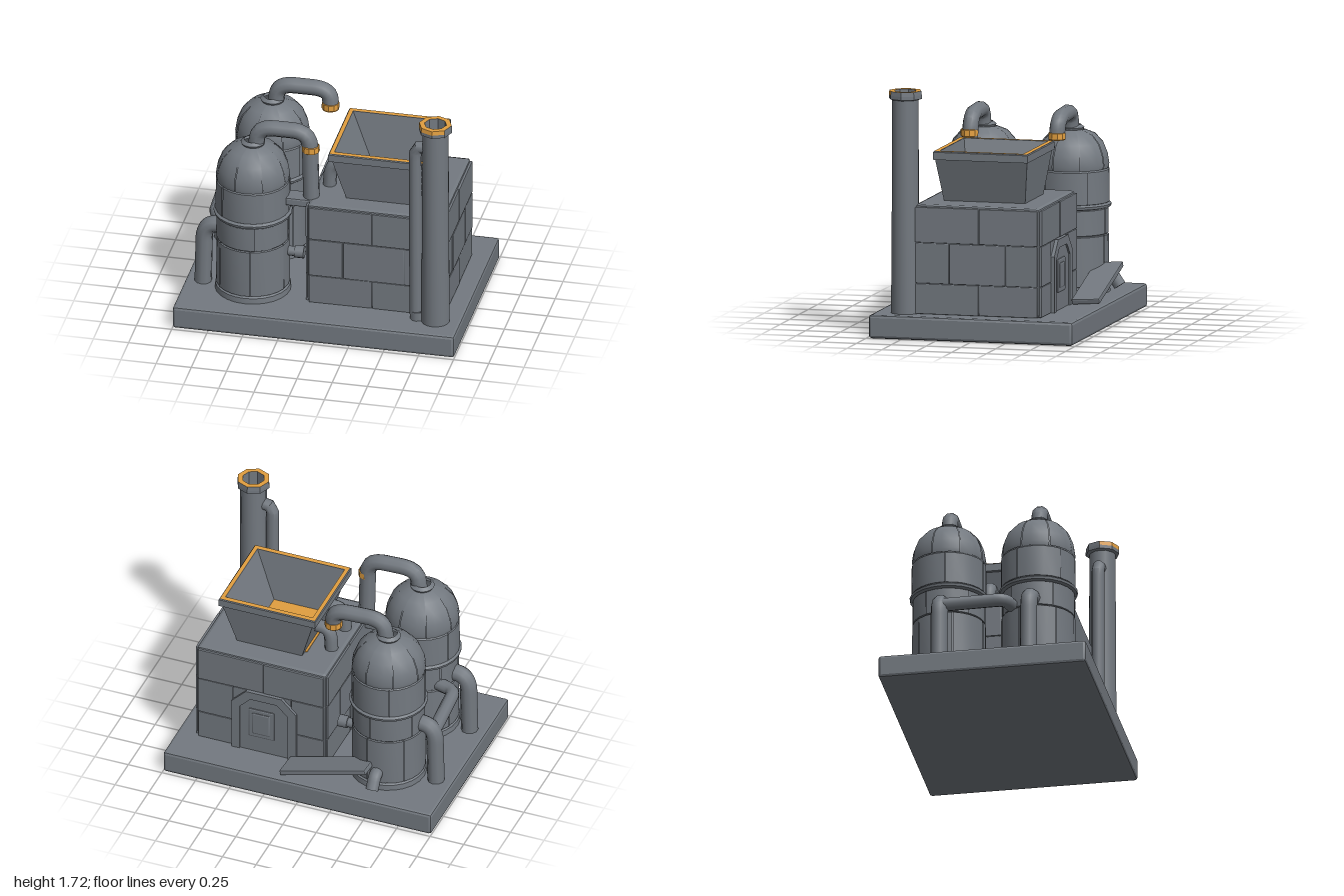
import * as THREE from 'three';
import { toCreasedNormals } from 'three/addons/utils/BufferGeometryUtils.js';
import { RoundedBoxGeometry } from 'three/addons/geometries/RoundedBoxGeometry.js';

export function createModel() {
  const model = new THREE.Group();
  const iron = new THREE.MeshStandardMaterial({ color: 0x737980 });
  iron.name = 'iron grey';
  iron.side = THREE.DoubleSide;
  const glow = new THREE.MeshStandardMaterial({ color: 0xe29f40 });
  glow.name = 'amber';
  glow.side = THREE.DoubleSide;

  let seed = 7;
  const rnd = () => (seed = (seed * 16807) % 2147483647) / 2147483647;
  const V = (p) => new THREE.Vector3(...p);

  function add(name, geo, mat = iron, pos = [0, 0, 0], parent = model) {
    const m = new THREE.Mesh(geo, mat);
    m.name = name;
    m.position.set(...pos);
    parent.add(m);
    return m;
  }
  const crease = (geo, angle = 0.5) => toCreasedNormals(geo, angle);
  const block = (w, h, d, r = 0.012) => crease(new RoundedBoxGeometry(w, h, d, 1, r), 0.3);
  const lathe = (pts, segs = 20, start = 0, len = Math.PI * 2) =>
    crease(new THREE.LatheGeometry(pts.map((p) => new THREE.Vector2(...p)), segs, start, len));

  // Bent pipe through a few points, with rounded corners and closed ends
  function pipe(name, pts, r, bend = 0.1, parent = model) {
    const p = pts.map(V), path = new THREE.CurvePath();
    let from = p[0];
    for (let i = 1; i < p.length - 1; i++) {
      const toward = (q) => p[i].clone().add(q.clone().sub(p[i]).setLength(
        Math.min(bend, q.distanceTo(p[i]) * 0.48)));
      const a = toward(p[i - 1]), b = toward(p[i + 1]);
      path.add(new THREE.LineCurve3(from, a));
      path.add(new THREE.QuadraticBezierCurve3(a, p[i], b));
      from = b;
    }
    path.add(new THREE.LineCurve3(from, p[p.length - 1]));
    add(name, crease(new THREE.TubeGeometry(path, 28, r, 10), 0.7), iron, [0, 0, 0], parent);
    for (const t of [0, 1]) {
      const cap = add(name + 'End', new THREE.CircleGeometry(r, 10), iron, path.getPointAt(t).toArray(), parent);
      cap.lookAt(cap.position.clone().add(path.getTangentAt(t).multiplyScalar(t ? 1 : -1)));
    }
  }

  // Rectangular loft through rings of [y, halfX, halfZ]
  function rectLoft(rings) {
    const pos = [];
    const corner = ([y, hx, hz], i) => [[-hx, y, hz], [hx, y, hz], [hx, y, -hz], [-hx, y, -hz]][i % 4];
    for (let k = 0; k < rings.length - 1; k++) {
      for (let i = 0; i < 4; i++) {
        const a = corner(rings[k], i), b = corner(rings[k], i + 1);
        const c = corner(rings[k + 1], i + 1), d = corner(rings[k + 1], i);
        pos.push(...a, ...b, ...d, ...b, ...c, ...d);
      }
    }
    const g = new THREE.BufferGeometry();
    g.setAttribute('position', new THREE.Float32BufferAttribute(pos, 3));
    g.computeVertexNormals();
    return g;
  }

  // Base slab
  add('base', block(2, 0.165, 1.465, 0.02), iron, [0, 0.0825, 0]);

  // Furnace: core block clad in uneven courses of plates
  const fx = 0.375, fz = -0.005, W = 0.97, D = 0.91;
  const furnace = new THREE.Group();
  furnace.name = 'furnace';
  model.add(furnace);
  add('furnaceCore', block(W, 0.77, D, 0.03), iron, [fx, 0.545, fz], furnace);
  const courses = [[0.165, 0.38], [0.38, 0.665], [0.665, 0.915]];
  for (let side = 0; side < 4; side++) {
    const alongX = side % 2 === 0, len = (alongX ? W : D) - 0.03, sign = side < 2 ? 1 : -1;
    courses.forEach(([y0, y1], row) => {
      const cuts = row % 2 ? [0, 0.26, 0.72, 1] : [0, 0.48, 1];
      for (let i = 0; i < cuts.length - 1; i++) {
        const w = (cuts[i + 1] - cuts[i]) * len - 0.004;
        const u = ((cuts[i] + cuts[i + 1]) / 2 - 0.5) * len;
        const out = sign * ((alongX ? D : W) / 2 - 0.004 + rnd() * 0.006);
        const m = add('furnacePlate', block(alongX ? w : 0.02, y1 - y0 - 0.004, alongX ? 0.02 : w, 0.005), iron,
          [fx + (alongX ? u : out), (y0 + y1) / 2, fz + (alongX ? out : u)], furnace);
        m.rotation.y = (rnd() - 0.5) * 0.02;
      }
    });
  }

  // Furnace door on the back: stepped chamfered arch and a raised hatch
  const doorX = 0.345;
  function archShape(hw, h) {
    const c = hw * 0.45;
    return [[-hw, 0], [hw, 0], [hw, h - c], [hw - c, h], [c - hw, h], [-hw, h - c]].map((p) => new THREE.Vector2(...p));
  }
  function arch(name, hw, h, t, depth) {
    const s = new THREE.Shape(archShape(hw, h));
    if (t) s.holes.push(new THREE.Path(archShape(hw - t, h - t)));
    const m = add(name, new THREE.ExtrudeGeometry(s, { depth, bevelEnabled: false }), iron, [doorX, 0.165, -0.46]);
    m.rotation.y = Math.PI;
  }
  arch('doorFrame', 0.24, 0.5, 0.06, 0.03);
  arch('doorPanel', 0.185, 0.44, 0, 0.018);
  add('doorHatchFrame', block(0.2, 0.24, 0.04), iron, [doorX + 0.02, 0.405, -0.466]);
  add('doorHatch', block(0.14, 0.18, 0.04), iron, [doorX + 0.02, 0.405, -0.472]);

  // Hopper with glowing contents and a trimmed rim
  const hopper = new THREE.Group();
  hopper.name = 'hopper';
  hopper.position.set(0.38, 0, 0);
  model.add(hopper);
  add('hopperWalls', rectLoft([[0.92, 0.24, 0.29], [1.23, 0.335, 0.33], [1.23, 0.36, 0.34], [1.282, 0.36, 0.34],
    [1.288, 0.354, 0.334], [1.288, 0.325, 0.3], [0.935, 0.175, 0.235]]), iron, [0, 0, 0], hopper);
  add('hopperRimTrim', rectLoft([[1.29, 0.353, 0.333], [1.29, 0.326, 0.301]]), glow, [0, 0, 0], hopper);
  add('hopperContents', new THREE.BoxGeometry(0.46, 0.02, 0.48), glow, [-0.03, 0.927, 0], hopper);
  for (const z of [-0.13, 0.12]) {
    pipe('hopperFeedPipe', [[-0.02, 0.9, z], [-0.01, 1.09, z], [0.1, 1.1, z]], 0.047);
  }

  // Chimney with collar, open flue and side pipe
  const cx = 0.82, cz = 0.515, quarter = Math.PI / 2;
  add('chimney', lathe([[0.1, 0.165], [0.095, 0.9], [0.092, 1.67]], 16), iron, [cx, 0, cz]);
  add('chimneyCollar', lathe([[0.09, 1.655], [0.118, 1.665], [0.118, 1.69]], 8), iron, [cx, 0, cz]);
  add('chimneyRimSide', lathe([[0.118, 1.69], [0.115, 1.72]], 5, quarter / 2, quarter * 2.5), iron, [cx, 0, cz]);
  add('chimneyRimGlow', lathe([[0.118, 1.69], [0.115, 1.72]], 3, -quarter, quarter * 1.5), glow, [cx, 0, cz]);
  add('chimneyRimTop', lathe([[0.115, 1.72], [0.078, 1.72]], 8), glow, [cx, 0, cz]);
  add('chimneyFlue', lathe([[0.078, 1.72], [0.075, 1.5], [0, 1.5]], 8), iron, [cx, 0, cz]);
  pipe('chimneySidePipe', [[0.68, 0.2, 0.51], [0.675, 1.53, 0.51], [0.8, 1.52, 0.515]], 0.045, 0.07);
  pipe('chimneySidePipeFoot', [[0.69, 0.165, 0.51], [0.69, 0.23, 0.51]], 0.052);

  // Tanks: smooth core, wedge plates, band, dome and pipework
  const tx = -0.52;
  const dome = [[0.252, 1.03], [0.256, 1.06], [0.245, 1.13], [0.215, 1.205], [0.16, 1.265], [0.085, 1.295]];
  const plates = [
    [6, [[0.245, 0.215], [0.255, 0.22], [0.254, 0.565], [0.245, 0.57]]],
    [5, [[0.242, 0.572], [0.25, 0.577], [0.25, 0.75], [0.24, 0.755]]],
    [5, [[0.25, 0.79], [0.258, 0.795], [0.256, 1.02], [0.242, 1.03]]],
    [8, dome],
  ];
  for (const tz of [-0.32, 0.31]) {
    const tank = new THREE.Group();
    tank.name = tz > 0 ? 'frontTank' : 'rearTank';
    model.add(tank);
    const at = [tx, 0, tz];
    add('tankCore', lathe([[0.265, 0.165], [0.262, 0.205], [0.246, 0.215], [0.244, 0.57], [0.243, 0.755],
      [0.27, 0.762], [0.274, 0.78], [0.252, 0.795], [0.25, 1.02], [0.24, 1.035],
      ...dome.map(([r, y]) => [r - 0.008, y]), [0.085, 1.31], [0.06, 1.33]], 24), iron, at, tank);
    for (const [n, pts] of plates) {
      const turn = rnd() * 2;
      for (let i = 0; i < n; i++) {
        const grow = rnd() * 0.004, step = (Math.PI * 2) / n;
        add('tankPlate', lathe(pts.map(([r, y]) => [r + grow, y]), Math.ceil(24 / n), turn + i * step, step - 0.02),
          iron, at, tank);
      }
    }
    // Overhead pipe: the front one runs down to the furnace, the rear one ends open
    const end = tz > 0 ? 0.9 : 1.28;
    pipe('overheadPipe', [[tx + 0.02, 1.27, tz], [tx + 0.04, 1.43, tz], [-0.12, 1.425, tz - 0.01], [-0.105, end, tz]],
      0.057, 0.12, tank);
    add('pipeCollar', lathe([[0.054, 1.277], [0.062, 1.283], [0.061, 1.325], [0.054, 1.33]], 10), glow,
      [-0.11, 0, tz - 0.002], tank);
    if (tz < 0) {
      const mouth = add('pipeMouth', new THREE.CircleGeometry(0.06, 10), glow, [-0.11, 1.277, tz], tank);
      mouth.rotation.x = Math.PI / 2;
    }
    // Drain pipe on the outer side and valve stub on the inner side
    pipe('drainPipe', [[-0.875, 0.165, tz - 0.005], [-0.865, 0.615, tz - 0.005], [-0.7, 0.63, tz]], 0.06, 0.11, tank);
    pipe('valveStub', [[-0.3, 0.475, tz], [-0.21, 0.475, tz]], 0.035, 0.1, tank);
    pipe('valveHead', [[-0.22, 0.475, tz], [-0.155, 0.475, tz]], 0.045, 0.1, tank);
  }
  add('pipeBracket', block(0.22, 0.06, 0.13), iron, [-0.17, 0.895, 0.31]);
  pipe('tankLinkPipe', [[-0.86, 0.58, -0.32], [-0.83, 0.6, 0.13], [-0.62, 0.6, 0.19]], 0.047, 0.06);

  // Spout and sloping chute at the back
  pipe('tankSpout', [[-0.53, 0.3, -0.5], [-0.53, 0.3, -0.6], [-0.53, 0.21, -0.66]], 0.045, 0.04);
  const chute = add('chute', block(0.66, 0.04, 0.2, 0.008), iron, [-0.175, 0.275, -0.595]);
  chute.rotation.set(0.06, -0.02, -0.27);

  return model;
}
